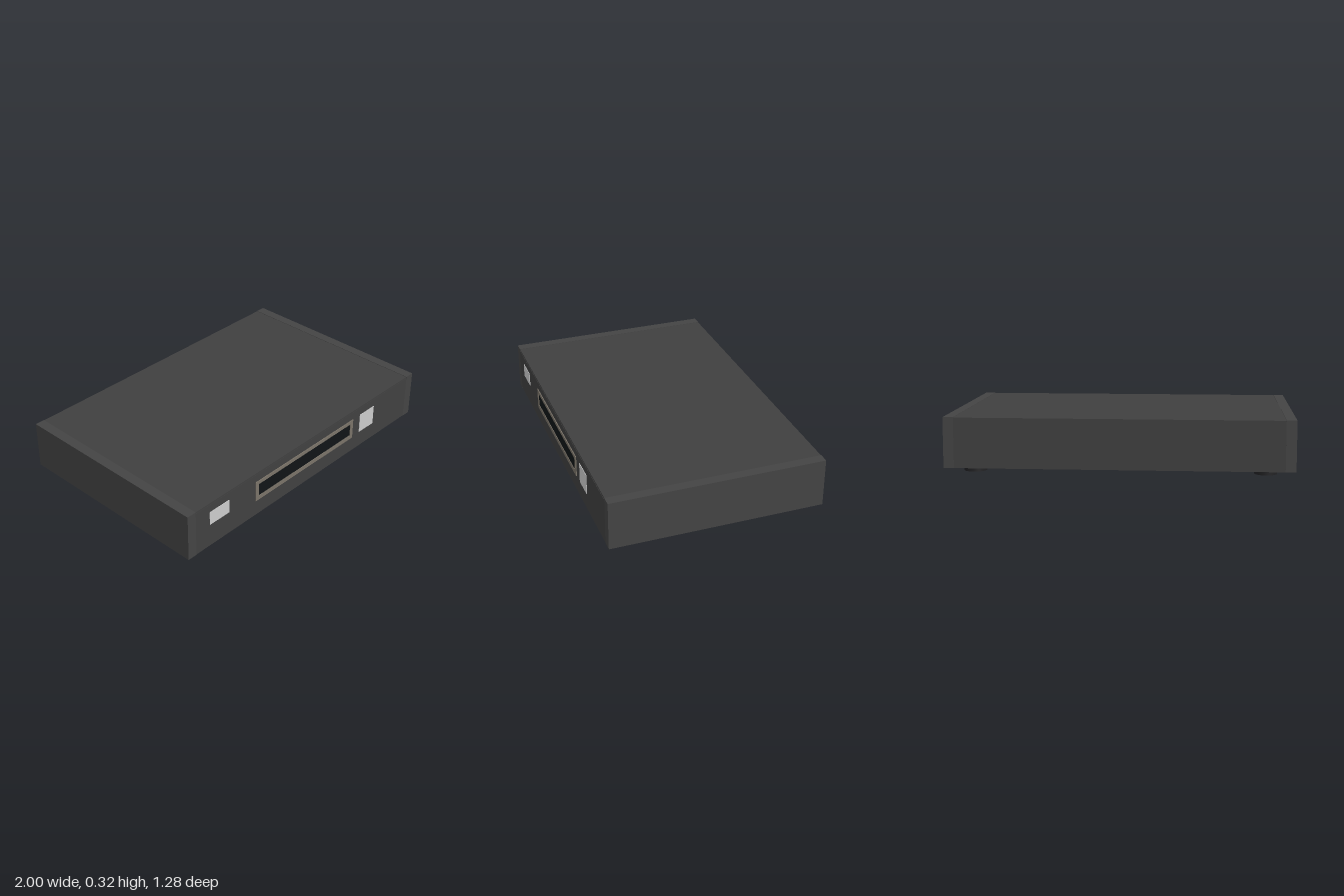
import * as THREE from 'three';

const paint = (color) => new THREE.MeshStandardMaterial({ color });

export function createModel() {
  const model = new THREE.Group();
  const shell = paint(0x404040);
  const rail = paint(0x444444);
  const rubber = paint(0x222224);
  const trim = paint(0x7a7368);
  const glass = paint(0x101416);
  const silver = paint(0xcccccc);

  const add = (name, geometry, material, x, y, z) => {
    const mesh = new THREE.Mesh(geometry, material);
    mesh.name = name;
    mesh.position.set(x, y, z);
    model.add(mesh);
    return mesh;
  };
  // Box given by its limits on each axis
  const slab = (name, material, x0, x1, y0, y1, z0, z1) =>
    add(name, new THREE.BoxGeometry(x1 - x0, y1 - y0, z1 - z0), material,
      (x0 + x1) / 2, (y0 + y1) / 2, (z0 + z1) / 2);

  // Casing with slightly proud side panels
  slab('casing', shell, -0.94, 0.94, 0.027, 0.318, -0.637, 0.634);
  slab('rightSidePanel', rail, -1, -0.94, 0.027, 0.32, -0.638, 0.636);
  slab('leftSidePanel', rail, 0.94, 1, 0.027, 0.32, -0.638, 0.636);
  slab('facePlate', shell, -0.94, 0.94, 0.035, 0.308, 0.62, 0.636);

  // Display window in a raised frame
  const frame = new THREE.Shape();
  frame.moveTo(-0.47, 0.13).lineTo(0.4, 0.13).lineTo(0.4, 0.26).lineTo(-0.47, 0.26).closePath();
  const opening = new THREE.Path();
  opening.moveTo(-0.445, 0.157).lineTo(-0.445, 0.238).lineTo(0.375, 0.238).lineTo(0.375, 0.157).closePath();
  frame.holes.push(opening);
  add('displayFrame', new THREE.ExtrudeGeometry(frame, { depth: 0.01, bevelEnabled: false }),
    trim, 0, 0, 0.631);
  slab('displayWindow', glass, -0.45, 0.38, 0.152, 0.243, 0.625, 0.638);

  // Front buttons
  slab('powerButton', silver, -0.835, -0.685, 0.175, 0.26, 0.625, 0.639);
  slab('controlButton', silver, 0.47, 0.605, 0.135, 0.26, 0.625, 0.639);

  // Round feet
  const foot = new THREE.CylinderGeometry(0.065, 0.065, 0.03, 32);
  for (const x of [-0.835, 0.835])
    for (const z of [-0.53, 0.53]) add('foot', foot, rubber, x, 0.015, z);

  return model;
}
